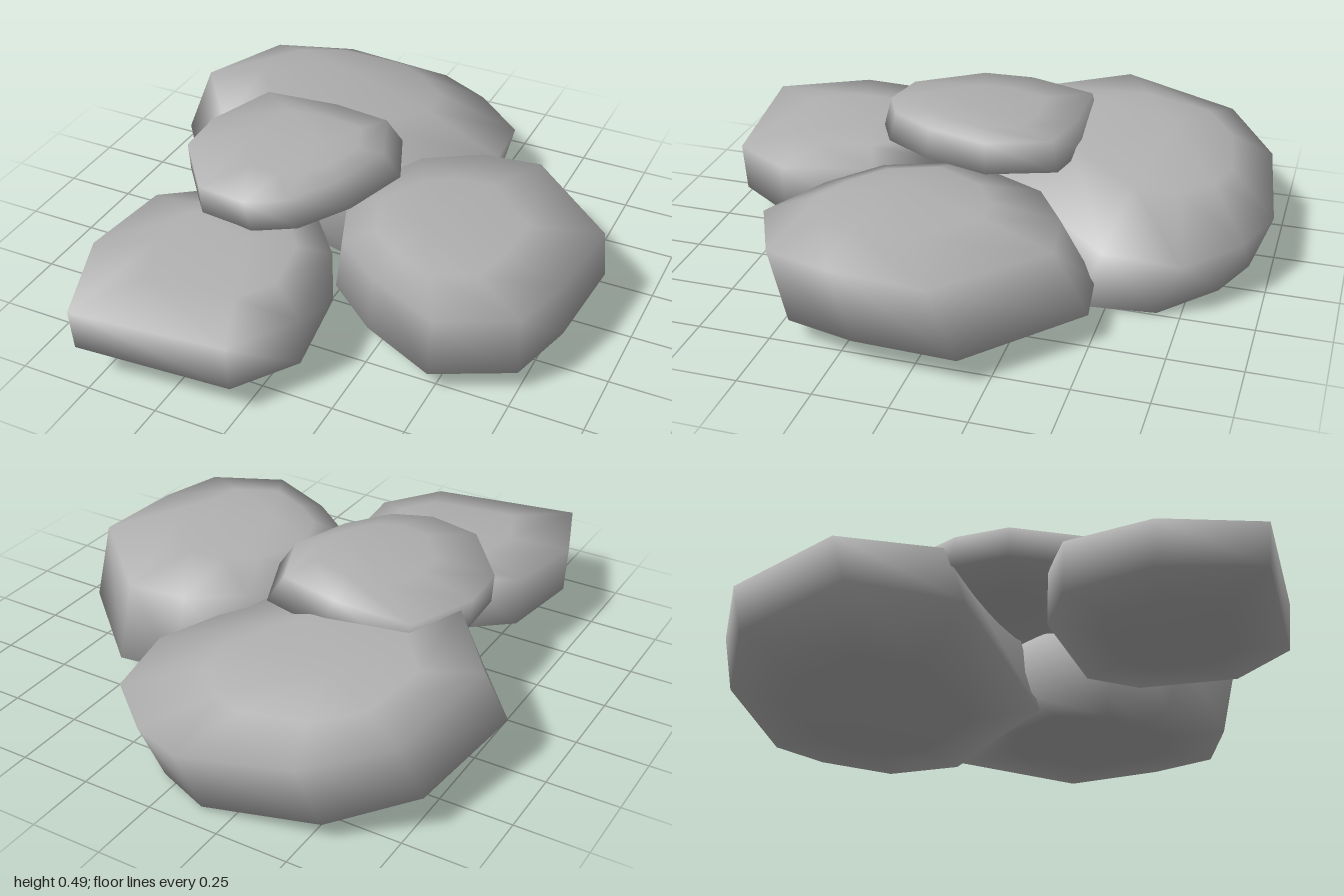
import * as THREE from 'three';

const stoneGrey = new THREE.MeshStandardMaterial({ color: 0xb0b0b0 });
stoneGrey.name = 'stoneGrey';

// Scales and shifts an outline about its middle and lays it on a tilted plane,
// kept just above the ground
function rim(outline, middle, { y, tiltX = 0, tiltZ = 0, scale, dx = 0, dz = 0 }) {
  return outline.map(([x, z]) => {
    const u = x - middle.x, v = z - middle.y;
    const height = Math.max(0.01, y + u * tiltX + v * tiltZ);
    return [middle.x + u * scale + dx, height, middle.y + v * scale + dz];
  });
}

// Pulls a rim toward a pole, rising faster than it shrinks, to round the face
function dome(ring, pole) {
  return ring.map((p) => p.map((v, k) => v + (pole[k] - v) * (k === 1 ? 0.6 : 0.42)));
}

// Skins a stone from its base, through four rings, to its crown.
// The outline holds [x, z] corners, clockwise seen from above.
function makeStone(name, outline, { base, lower, upper, crown }) {
  const middle = new THREE.Box2()
    .setFromPoints(outline.map(([x, z]) => new THREE.Vector2(x, z)))
    .getCenter(new THREE.Vector2());
  const lowRim = rim(outline, middle, lower);
  const highRim = rim(outline, middle, upper);
  const rings = [dome(lowRim, base), lowRim, highRim, dome(highRim, crown)];

  const n = outline.length, baseId = 4 * n, crownId = 4 * n + 1;
  const index = [];
  for (let i = 0; i < n; i++) {
    const j = (i + 1) % n;
    index.push(baseId, i, j);
    for (let r = 0; r < 3; r++) {
      const a = r * n + i, b = r * n + j;
      index.push(a, a + n, b + n, a, b + n, b);
    }
    index.push(3 * n + i, crownId, 3 * n + j);
  }
  const geometry = new THREE.BufferGeometry();
  const positions = [...rings.flat(), base, crown].flat();
  geometry.setAttribute('position', new THREE.Float32BufferAttribute(positions, 3));
  geometry.setIndex(index);
  geometry.computeVertexNormals();
  const mesh = new THREE.Mesh(geometry, stoneGrey);
  mesh.name = name;
  return mesh;
}

export function createModel() {
  const group = new THREE.Group();
  group.name = 'stonePile';

  // Large stone at the back, sloping down to its left
  group.add(makeStone('backStone', [
    [-0.86, -0.32], [-0.78, -0.75], [-0.53, -0.94], [-0.12, -1], [0.08, -0.92],
    [0.29, -0.74], [0.32, -0.47], [0, 0], [-0.62, -0.01],
  ], {
    base: [-0.2, 0, -0.5],
    lower: { y: 0.05, tiltX: -0.22, tiltZ: 0.1, scale: 0.97, dx: -0.02, dz: 0.06 },
    upper: { y: 0.31, tiltX: -0.12, tiltZ: 0.12, scale: 0.955, dx: 0.025, dz: -0.02 },
    crown: [-0.4, 0.41, -0.6],
  }));

  // Broad stone on the left side
  group.add(makeStone('leftStone', [
    [-0.12, 0], [0.04, -0.33], [0.25, -0.46], [0.48, -0.49], [0.85, -0.15],
    [0.82, 0.22], [0.75, 0.47], [0.48, 0.6], [0.2, 0.47], [0, 0.31],
  ], {
    base: [0.35, 0.05, 0.15],
    lower: { y: 0.095, tiltZ: -0.03, scale: 0.96, dx: 0.015, dz: -0.025 },
    upper: { y: 0.335, scale: 0.9, dx: 0.05, dz: 0.055 },
    crown: [0.32, 0.4, 0.22],
  }));

  // Small low stone at the front
  group.add(makeStone('frontStone', [
    [-0.67, 0.67], [-0.62, 0.35], [-0.45, 0.23], [-0.05, 0.22],
    [0.08, 0.37], [0.13, 0.71], [-0.01, 0.93], [-0.55, 1],
  ], {
    base: [-0.25, 0.095, 0.6],
    lower: { y: 0.13, tiltX: -0.06, scale: 0.97 },
    upper: { y: 0.305, tiltX: -0.03, tiltZ: -0.05, scale: 0.98, dz: 0.008 },
    crown: [-0.18, 0.36, 0.5],
  }));

  // Small stone resting on the others
  group.add(makeStone('topStone', [
    [-0.6, -0.03], [-0.5, -0.3], [-0.2, -0.31], [0.03, -0.27], [0.125, -0.04],
    [0.05, 0.2], [-0.06, 0.37], [-0.2, 0.44], [-0.4, 0.41], [-0.59, 0.17],
  ], {
    base: [-0.25, 0.29, 0.05],
    lower: { y: 0.35, tiltX: 0.06, scale: 1 },
    upper: { y: 0.445, tiltX: 0.04, scale: 0.93, dx: -0.03, dz: 0.01 },
    crown: [-0.13, 0.49, 0.04],
  }));

  return group;
}
